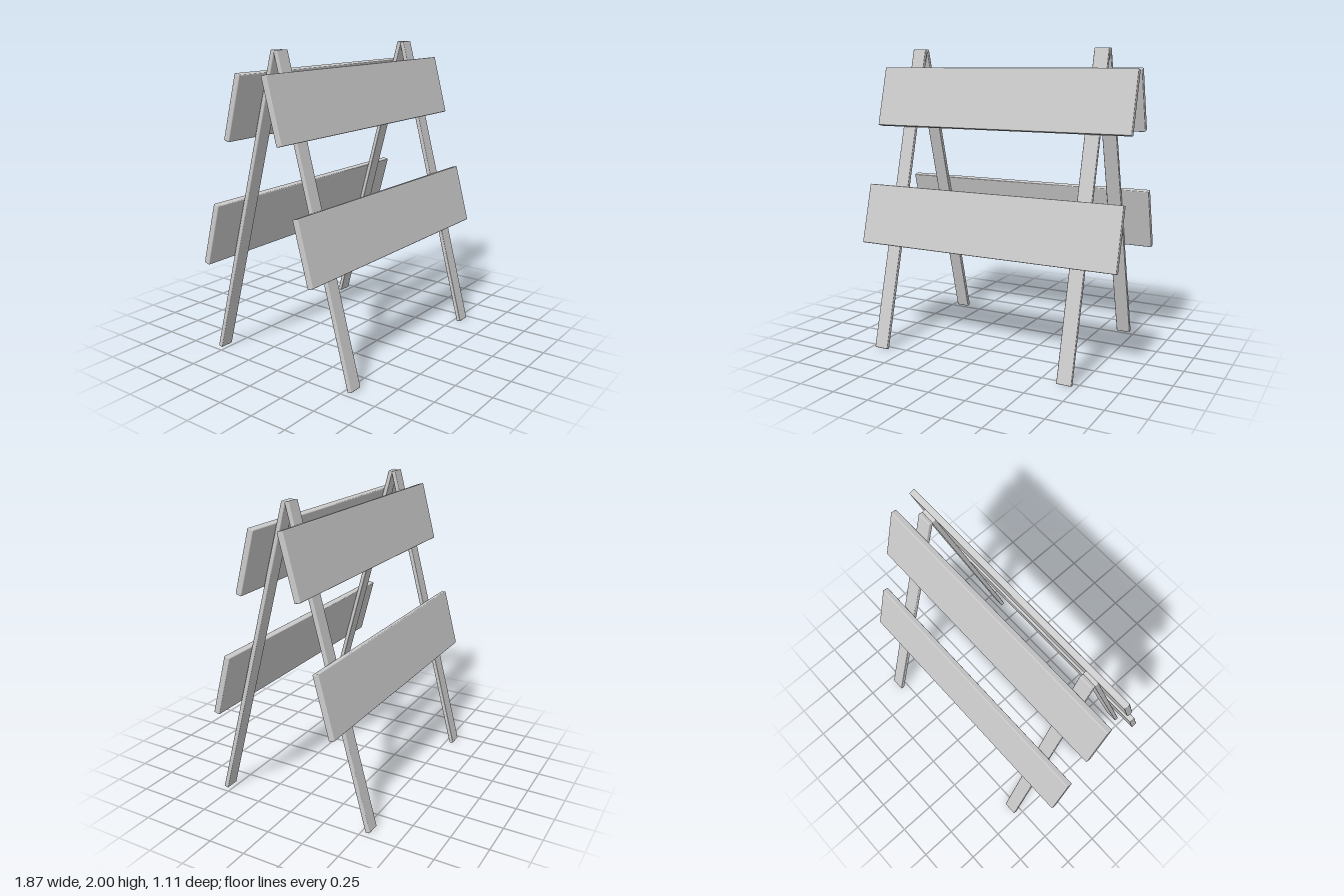
import * as THREE from 'three';
import { RoundedBoxGeometry } from 'three/addons/geometries/RoundedBoxGeometry.js';

const TILT = THREE.MathUtils.degToRad(15);
const material = new THREE.MeshStandardMaterial({ color: 0xcccccc });

function plank(name, width, height, depth, x, y, z) {
  const mesh = new THREE.Mesh(new RoundedBoxGeometry(width, height, depth, 2, 0.006), material);
  mesh.name = name;
  mesh.position.set(x, y, z);
  return mesh;
}

// One leaning side: two legs with two boards fixed to the outer face
function createSide(name) {
  const frame = new THREE.Group();
  frame.name = name + 'Frame';
  frame.add(
    plank('leftLeg', 0.097, 2.062, 0.03, 0.669, 0, 0),
    plank('rightLeg', 0.097, 2.062, 0.03, -0.669, 0, 0),
    plank('upperBoard', 1.835, 0.408, 0.041, 0.017, 0.688, 0.039),
    plank('lowerBoard', 1.835, 0.408, 0.041, 0.017, -0.134, 0.039),
  );
  frame.position.set(0, 1, 0.277);
  frame.rotation.x = -TILT;

  const side = new THREE.Group();
  side.name = name + 'Side';
  side.add(frame);
  return side;
}

export function createModel() {
  const model = new THREE.Group();
  model.name = 'foldingBarricade';
  const front = createSide('front');
  // The back side is the same frame turned half way round
  const back = createSide('back');
  back.rotation.y = Math.PI;
  model.add(front, back);
  return model;
}
